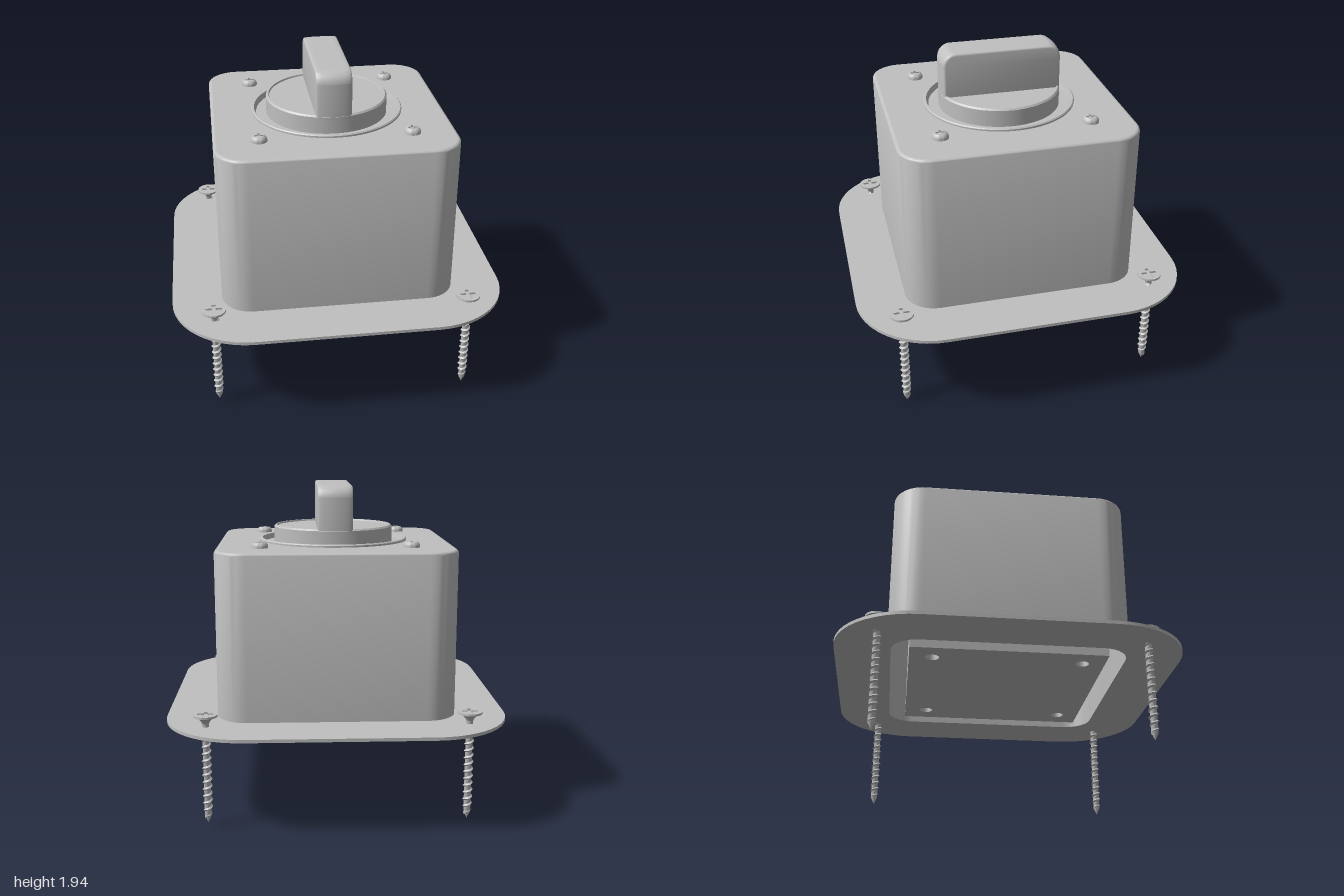
import * as THREE from 'three';
import { toCreasedNormals } from 'three/addons/utils/BufferGeometryUtils.js';
import { ParametricGeometry } from 'three/addons/geometries/ParametricGeometry.js';

const grey = new THREE.MeshStandardMaterial({ color: 0xc0c0c0 });
grey.name = 'plain grey';

function add(parent, name, geometry, crease = 0.5) {
  const mesh = new THREE.Mesh(toCreasedNormals(geometry, crease), grey);
  mesh.name = name;
  parent.add(mesh);
  return mesh;
}

// Outline of a rounded square, counter-clockwise
function roundedSquare(half, radius, steps = 12) {
  const points = [];
  for (let c = 0; c < 4; c++) {
    const mid = (c + 0.5) * Math.PI / 2;
    const cx = Math.sign(Math.cos(mid)) * (half - radius);
    const cy = Math.sign(Math.sin(mid)) * (half - radius);
    for (let i = 0; i <= steps; i++) {
      const a = (c + i / steps) * Math.PI / 2;
      points.push(new THREE.Vector2(cx + radius * Math.cos(a), cy + radius * Math.sin(a)));
    }
  }
  return points;
}

const circlePath = (x, y, r) => new THREE.Path().absarc(x, y, r, 0, Math.PI * 2, true);

const lathe = (profile, sides = 64) =>
  new THREE.LatheGeometry(profile.map(p => new THREE.Vector2(...p)), sides);

// Flat outline raised from y0 to y1
function slab(shape, y0, y1) {
  const g = new THREE.ExtrudeGeometry(shape, { depth: y1 - y0, bevelEnabled: false, curveSegments: 24 });
  return g.rotateX(-Math.PI / 2).translate(0, y0, 0);
}

// Skin through rounded squares given as [half, cornerRadius, y]
function loft(levels) {
  const pos = [], index = [];
  const n = roundedSquare(1, 0.1).length;
  levels.forEach(([half, radius, y], i) => {
    roundedSquare(half, radius).forEach((p, j) => {
      pos.push(p.x, y, -p.y);
      if (i === levels.length - 1) return;
      const a = i * n + j, b = i * n + (j + 1) % n;
      index.push(a, b, b + n, a, b + n, a + n);
    });
  });
  const g = new THREE.BufferGeometry();
  g.setAttribute('position', new THREE.Float32BufferAttribute(pos, 3));
  g.setIndex(index);
  return g;
}

// Flat round screw top with a cross recess
function crossTop(parent, radius, y, arm, w, depth) {
  const shape = new THREE.Shape().absarc(0, 0, radius, 0, Math.PI * 2, false);
  const corners = [];
  for (let k = 0; k < 4; k++) {
    for (const [x, z] of [[arm, -w], [arm, w], [w, w]]) {
      corners.push(new THREE.Vector2(x, z).rotateAround(new THREE.Vector2(), k * Math.PI / 2));
    }
  }
  shape.holes.push(new THREE.Path(corners.reverse()));
  add(parent, 'crossRecess', slab(shape, y - depth, y));
  add(parent, 'recessFloor',
    new THREE.CircleGeometry(radius * 0.85, 24).rotateX(-Math.PI / 2).translate(0, y - depth, 0));
}

// Long countersunk wood screw, tip at y = 0
function woodScrew() {
  const g = new THREE.Group();
  g.name = 'woodScrew';
  add(g, 'shank', lathe([[0, 0], [0.02, 0.045], [0.02, 0.6], [0.026, 0.612],
    [0.04, 0.63], [0.07, 0.646], [0.07, 0.655]], 24));
  crossTop(g, 0.07, 0.655, 0.046, 0.011, 0.012);
  const turns = 13;
  add(g, 'thread', new ParametricGeometry((u, v, out) => {
    const a = u * turns * Math.PI * 2;
    const r = v > 0.25 && v < 0.75 ? 0.029 - 0.008 * Math.max(0, 1 - u * 8) : 0.018;
    out.set(r * Math.cos(a), 0.035 + u * 0.55 + (v - 0.5) * 0.022, -r * Math.sin(a));
  }, turns * 16, 2));
  return g;
}

// Small domed screw for the lid
function lidScrew() {
  const g = new THREE.Group();
  g.name = 'lidScrew';
  add(g, 'dome', lathe([[0.048, -0.01], [0.048, 0.01], [0.045, 0.02], [0.039, 0.028], [0.031, 0.033]], 32), 0.8);
  crossTop(g, 0.031, 0.033, 0.027, 0.007, 0.012);
  return g;
}

// Grip bar whose ends follow the round knob
function gripGeometry() {
  const R = 0.365, bevel = 0.012, depth = 0.21 - 2 * bevel;
  const half = R - bevel, bottom = 1.65, top = 1.94 - bevel, r = 0.065;
  const shape = new THREE.Shape();
  shape.moveTo(-half, bottom).lineTo(half, bottom).lineTo(half, top - r);
  shape.absarc(half - r, top - r, r, 0, Math.PI / 2, false);
  shape.absarc(-half + r, top - r, r, Math.PI / 2, Math.PI, false);
  const g = new THREE.ExtrudeGeometry(shape, {
    depth, steps: 8, bevelSize: bevel, bevelThickness: bevel, bevelSegments: 3, curveSegments: 10,
  }).translate(0, 0, -depth / 2);
  const p = g.attributes.position;
  for (let i = 0; i < p.count; i++) {
    p.setX(i, p.getX(i) * Math.sqrt(R * R - p.getZ(i) ** 2) / R);
  }
  return g.rotateY(Math.PI / 2);
}

export function createModel() {
  const model = new THREE.Group();
  model.name = 'rotarySwitchBox';

  // Mounting flange with an opening under the housing
  const flange = new THREE.Shape(roundedSquare(1, 0.47));
  flange.holes.push(new THREE.Path(roundedSquare(0.68, 0.16).reverse()));
  add(model, 'flange', slab(flange, 0.593, 0.612));

  // Housing: hollow wall with a softly rounded upper edge
  const levels = [[0.5, 0.02, 1.55], [0.68, 0.16, 1.55], [0.68, 0.16, 0.6], [0.703, 0.183, 0.6]];
  for (let i = 0; i <= 5; i++) {
    const a = i / 5 * Math.PI / 2, inset = 0.02 * (1 - Math.cos(a));
    levels.push([0.703 - inset, 0.183 - inset, 1.57 + 0.02 * Math.sin(a)]);
  }
  add(model, 'housing', loft(levels));

  // Lid face with a round opening for the knob
  const lid = new THREE.Shape(roundedSquare(0.683, 0.163));
  lid.holes.push(circlePath(0, 0, 0.45));
  add(model, 'lid', new THREE.ShapeGeometry(lid, 48).rotateX(-Math.PI / 2).translate(0, 1.59, 0));

  // Inner block with four screw holes
  const block = new THREE.Shape();
  block.moveTo(-0.575, -0.575).lineTo(0.575, -0.575).lineTo(0.575, 0.575).lineTo(-0.575, 0.575);
  for (const x of [-0.44, 0.44]) {
    for (const z of [-0.44, 0.44]) block.holes.push(circlePath(x, z, 0.04));
  }
  add(model, 'innerBlock', slab(block, 0.593, 1.55));

  // Raised collar and recess round the knob
  add(model, 'collar', lathe([[0.458, 1.585], [0.458, 1.6], [0.452, 1.606], [0.44, 1.606],
    [0.428, 1.575], [0.36, 1.575]], 96));

  // Knob
  const knob = new THREE.Group();
  knob.name = 'knob';
  add(knob, 'knobBase', lathe([[0.366, 1.57], [0.366, 1.675], [0.357, 1.685], [0.35, 1.685],
    [0.346, 1.675], [0, 1.675]], 96));
  add(knob, 'grip', gripGeometry(), 0.6);
  model.add(knob);

  // Screws in each corner; the front left one sits deeper
  for (const x of [-1, 1]) {
    for (const z of [-1, 1]) {
      const wood = woodScrew();
      wood.position.set(x * 0.755, x + z === 2 ? 0 : 0.03, z * 0.755);
      const small = lidScrew();
      small.position.set(x * 0.442, 1.59, z * 0.442);
      model.add(wood, small);
    }
  }
  return model;
}
